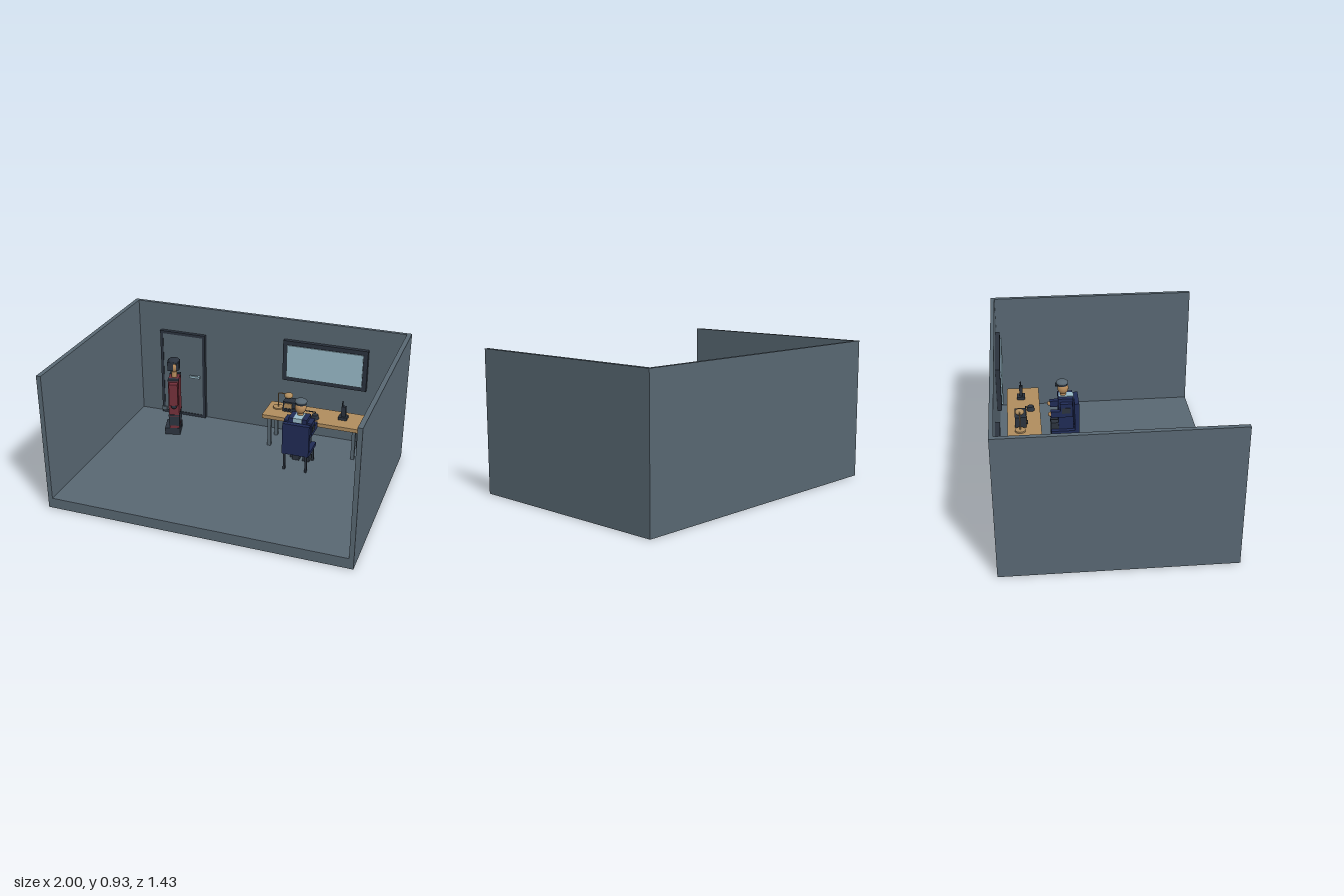
import * as THREE from 'three';

function material(name, color) {
  const m = new THREE.MeshStandardMaterial({ color });
  m.name = name;
  return m;
}

export function createModel() {
  const slate = material('slate', 0x586772), dark = material('charcoal', 0x2b333e);
  const glass = material('pale blue', 0x99bac8), wood = material('oak', 0xb08d5e);
  const skin = material('tan', 0xb78c5c), navy = material('navy', 0x202b55);
  const red = material('maroon', 0x712f39);

  const add = (parent, name, geo, mat, x = 0, y = 0, z = 0) => {
    const m = new THREE.Mesh(geo, mat);
    m.name = name;
    m.position.set(x, y, z);
    parent.add(m);
    return m;
  };
  // Box given by its extents along each axis
  const box = (p, name, mat, x0, x1, y0, y1, z0, z1) =>
    add(p, name, new THREE.BoxGeometry(x1 - x0, y1 - y0, z1 - z0), mat, (x0 + x1) / 2, (y0 + y1) / 2, (z0 + z1) / 2);
  const ball = (p, name, mat, r, x, y, z, sy = 1) => {
    const m = add(p, name, new THREE.SphereGeometry(r, 20, 14), mat, x, y, z);
    m.scale.y = sy;
    return m;
  };
  const disc = (p, name, mat, r, y0, y1, x, z, rTop = r) =>
    add(p, name, new THREE.CylinderGeometry(rTop, r, y1 - y0, 20), mat, x, (y0 + y1) / 2, z);
  const tube = (p, name, mat, r, pts) => add(p, name, new THREE.TubeGeometry(
    new THREE.CatmullRomCurve3(pts.map(a => new THREE.Vector3(...a)), false, 'catmullrom', 0.1), 20, r, 8), mat);
  // Rectangular frame with an opening
  const frame = (p, name, mat, x0, x1, y0, y1, t, z0, z1) => {
    const s = new THREE.Shape([[x0, y0], [x1, y0], [x1, y1], [x0, y1]].map(a => new THREE.Vector2(...a)));
    s.holes.push(new THREE.Path([[x0 + t, y0 + t], [x0 + t, y1 - t], [x1 - t, y1 - t], [x1 - t, y0 + t]]
      .map(a => new THREE.Vector2(...a))));
    add(p, name, new THREE.ExtrudeGeometry(s, { depth: z1 - z0, bevelEnabled: false }), mat, 0, 0, z0);
  };

  const model = new THREE.Group();
  model.name = 'office';
  const group = name => {
    const g = new THREE.Group();
    g.name = name;
    model.add(g);
    return g;
  };

  // Room shell
  const room = group('room');
  box(room, 'floor', slate, -0.97, 0.97, 0, 0.07, -0.69, 0.715);
  box(room, 'backWall', slate, -0.97, 0.97, 0, 0.925, -0.715, -0.69);
  for (const s of [-1, 1]) box(room, 'sideWall', slate, s * 0.985 - 0.015, s * 0.985 + 0.015, 0, 0.925, -0.715, 0.715);

  // Door
  const door = group('door');
  frame(door, 'doorFrame', dark, -0.8, -0.457, 0.072, 0.725, 0.02, -0.69, -0.662);
  box(door, 'doorPanel', slate, -0.78, -0.477, 0.092, 0.705, -0.69, -0.667);
  box(door, 'doorStop', slate, -0.8, -0.763, 0.09, 0.12, -0.662, -0.65);
  box(door, 'handle', glass, -0.57, -0.49, 0.394, 0.41, -0.65, -0.635);
  box(door, 'handleStem', glass, -0.51, -0.497, 0.396, 0.408, -0.667, -0.65);

  // Window
  const win = group('window');
  frame(win, 'windowFrame', dark, 0.13, 0.728, 0.48, 0.778, 0.03, -0.69, -0.66);
  box(win, 'windowPane', glass, 0.16, 0.698, 0.51, 0.748, -0.657, -0.65);
  box(win, 'paneBacking', dark, 0.16, 0.698, 0.51, 0.748, -0.69, -0.657);

  // Desk
  const desk = group('desk');
  box(desk, 'deskTop', wood, 0.065, 0.76, 0.288, 0.315, -0.632, -0.405);
  for (const x of [0.113, 0.712]) for (const z of [-0.6, -0.437])
    box(desk, 'deskLeg', slate, x - 0.012, x + 0.012, 0.07, 0.288, z - 0.012, z + 0.012);

  // Desk lamp
  const lamp = group('lamp');
  disc(lamp, 'lampBase', wood, 0.036, 0.315, 0.325, 0.14, -0.547);
  tube(lamp, 'lampArm', wood, 0.004, [[0.14, 0.32, -0.547], [0.14, 0.38, -0.547], [0.14, 0.428, -0.547], [0.17, 0.43, -0.547], [0.21, 0.43, -0.547]]);
  ball(lamp, 'lampHead', wood, 0.031, 0.213, 0.42, -0.547, 0.65);

  // Radio set with a corded microphone
  const radio = group('radio');
  box(radio, 'radioCase', dark, 0.185, 0.32, 0.315, 0.39, -0.58, -0.503);
  box(radio, 'radioDial', wood, 0.197, 0.25, 0.345, 0.38, -0.503, -0.498);
  for (const x of [0.21, 0.235]) {
    const knob = disc(radio, 'knob', dark, 0.008, 0.328, 0.34, x, -0.499);
    knob.rotation.x = Math.PI / 2;
  }
  tube(radio, 'cord', dark, 0.004, [[0.24, 0.345, -0.503], [0.33, 0.345, -0.505], [0.42, 0.345, -0.505], [0.426, 0.335, -0.475]]);
  disc(radio, 'microphone', dark, 0.028, 0.315, 0.345, 0.427, -0.47, 0.022);

  // Handset in its cradle
  const handset = group('handset');
  box(handset, 'cradle', dark, 0.58, 0.64, 0.315, 0.336, -0.56, -0.505);
  box(handset, 'handsetBody', dark, 0.597, 0.628, 0.336, 0.41, -0.543, -0.52);
  disc(handset, 'aerial', dark, 0.005, 0.41, 0.446, 0.603, -0.532);

  // Chair
  const chair = group('chair');
  box(chair, 'chairBack', navy, 0.293, 0.477, 0.19, 0.415, -0.172, -0.14);
  box(chair, 'chairSeat', navy, 0.293, 0.477, 0.185, 0.21, -0.335, -0.172);
  for (const x of [0.31, 0.46]) for (const z of [-0.325, -0.15])
    box(chair, 'chairLeg', dark, x - 0.007, x + 0.007, 0.07, 0.19, z - 0.007, z + 0.007);

  // Seated clerk, facing the desk
  const clerk = group('clerk');
  box(clerk, 'jacket', navy, 0.322, 0.448, 0.21, 0.443, -0.282, -0.18);
  box(clerk, 'collar', glass, 0.355, 0.415, 0.418, 0.447, -0.275, -0.174);
  for (const s of [-1, 1]) {
    const x = 0.385 + s * 0.078, leg = 0.385 + s * 0.036;
    box(clerk, 'upperArm', navy, x - 0.018, x + 0.018, 0.32, 0.42, -0.27, -0.185);
    box(clerk, 'forearm', navy, x - 0.018, x + 0.018, 0.32, 0.365, -0.335, -0.27);
    box(clerk, 'cuff', dark, x + s * 0.018 - 0.004, x + s * 0.018 + 0.004, 0.35, 0.39, -0.26, -0.2);
    ball(clerk, 'hand', skin, 0.016, x, 0.34, -0.338);
    box(clerk, 'thigh', dark, leg - 0.024, leg + 0.024, 0.21, 0.26, -0.335, -0.22);
    box(clerk, 'shin', dark, leg - 0.024, leg + 0.024, 0.08, 0.21, -0.336, -0.29);
    box(clerk, 'shoe', dark, leg - 0.024, leg + 0.024, 0.07, 0.095, -0.365, -0.29);
  }
  disc(clerk, 'neck', skin, 0.02, 0.44, 0.475, 0.385, -0.245);
  ball(clerk, 'head', skin, 0.038, 0.385, 0.498, -0.245, 1.1);
  disc(clerk, 'capBand', dark, 0.037, 0.522, 0.534, 0.385, -0.25);
  ball(clerk, 'cap', slate, 0.042, 0.385, 0.541, -0.25, 0.45);
  box(clerk, 'capPeak', dark, 0.36, 0.41, 0.523, 0.529, -0.298, -0.27);

  // Standing guard, built facing +z then turned towards the door side
  const guard = group('guard');
  guard.position.set(-0.593, 0, -0.418);
  guard.rotation.y = -1.29;
  box(guard, 'tunic', red, -0.07, 0.07, 0.21, 0.497, -0.037, 0.037);
  box(guard, 'belt', dark, -0.072, 0.072, 0.215, 0.228, -0.039, 0.039);
  for (const s of [-1, 1]) {
    const x = s * 0.087, leg = s * 0.036;
    box(guard, 'arm', red, x - 0.02, x + 0.02, 0.315, 0.48, -0.033, 0.027);
    ball(guard, 'glove', dark, 0.022, x, 0.307, -0.003);
    box(guard, 'trouserLeg', red, leg - 0.031, leg + 0.031, 0.12, 0.21, -0.034, 0.034);
    box(guard, 'legBand', dark, leg - 0.034, leg + 0.034, 0.14, 0.21, -0.037, 0.037);
    box(guard, 'boot', dark, leg - 0.034, leg + 0.034, 0.07, 0.12, -0.04, 0.068);
    box(guard, 'shoulderPad', dark, s * 0.055 - 0.016, s * 0.055 + 0.016, 0.49, 0.5, -0.038, 0.038);
  }
  disc(guard, 'neck', skin, 0.02, 0.49, 0.55, 0, 0);
  ball(guard, 'head', skin, 0.037, 0, 0.575, 0, 1.15);
  box(guard, 'visor', dark, -0.037, 0.037, 0.553, 0.618, 0.003, 0.042);
  box(guard, 'neckGuard', dark, -0.034, 0.034, 0.558, 0.615, -0.04, -0.018);
  disc(guard, 'helmetRim', dark, 0.043, 0.608, 0.62, 0, 0);
  ball(guard, 'helmet', dark, 0.042, 0, 0.617, 0, 0.55);

  return model;
}
